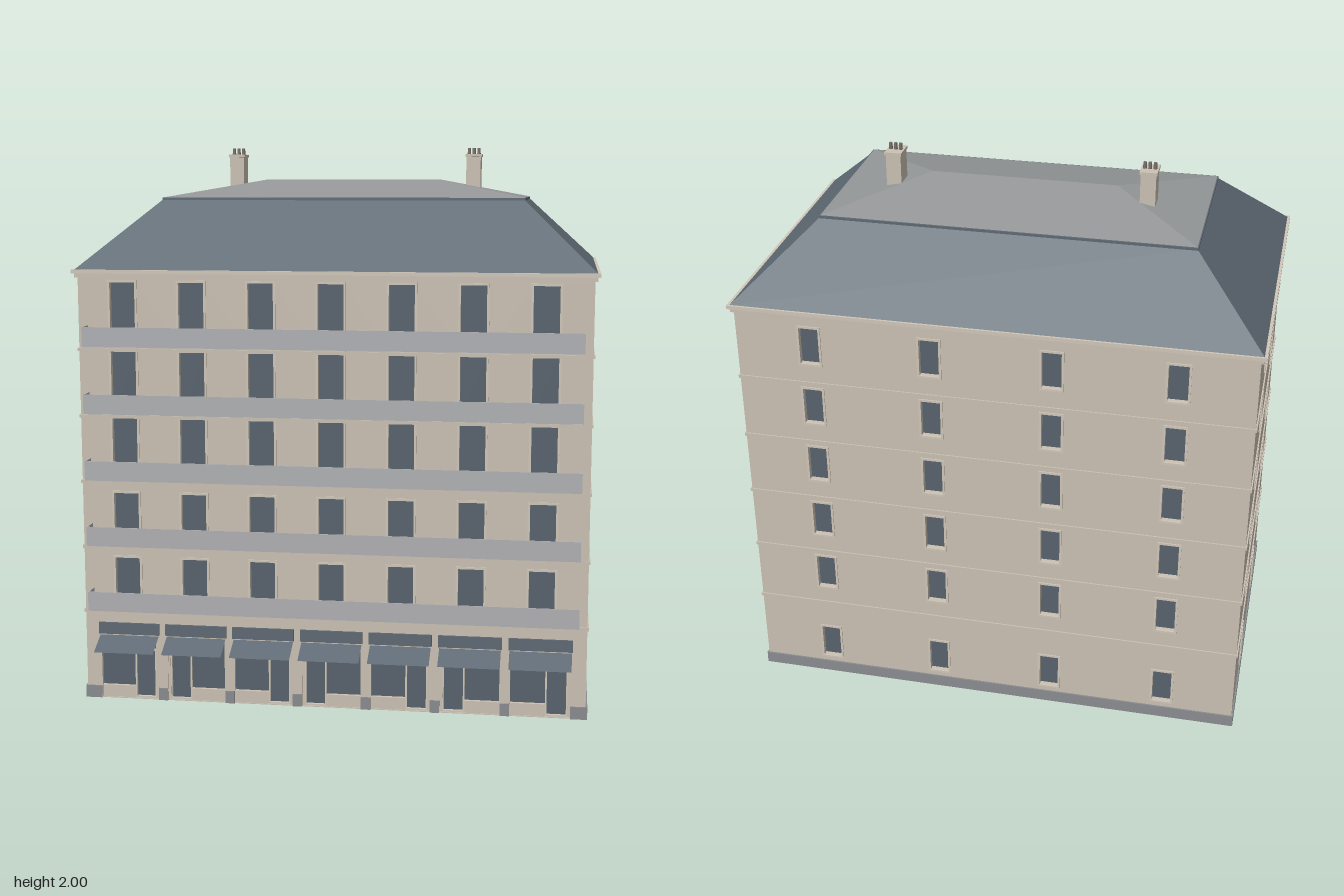
import * as THREE from 'three';

const mat = (name, color, side = THREE.FrontSide) => {
  const m = new THREE.MeshStandardMaterial({ color, side });
  m.name = name;
  return m;
};

export function createModel() {
  const root = new THREE.Group();
  root.name = 'apartmentBuilding';
  const wallMat = mat('limestone', 0xcbc1b3);
  const trimMat = mat('pale trim', 0xd0c7b9);
  const glassMat = mat('dark glass', 0x58636d);
  const slateMat = mat('slate', 0x5f6a74, THREE.DoubleSide);
  const zincMat = mat('zinc roof', 0x949798, THREE.DoubleSide);
  const railMat = mat('balcony grey', 0xb0b1b4, THREE.DoubleSide);
  const plinthMat = mat('plinth grey', 0x8a8c90);
  const potMat = mat('chimney pot', 0x77716b);

  const X = 0.905, Z0 = -0.605, Z1 = 0.54, ZC = (Z0 + Z1) / 2, D = Z1 - Z0;
  const H = 1.56, T = 0.025;

  const add = (parent, name, geo, material, x = 0, y = 0, z = 0) => {
    const m = new THREE.Mesh(geo, material);
    m.name = name;
    m.position.set(x, y, z);
    parent.add(m);
    return m;
  };
  const box = (parent, name, material, w, h, d, x, y, z) =>
    add(parent, name, new THREE.BoxGeometry(w, h, d), material, x, y, z);
  const rect = (Type, x0, x1, y0, y1) => {
    const s = new Type();
    s.moveTo(x0, y0); s.lineTo(x1, y0); s.lineTo(x1, y1); s.lineTo(x0, y1); s.closePath();
    return s;
  };
  const extrude = (shape, depth) => new THREE.ExtrudeGeometry(shape, { depth, bevelEnabled: false });

  // Horizontal band around the whole building, hollow in the middle
  const ring = (name, material, out, y, h, hx = X, z0 = Z0, z1 = Z1, inset = 0.01) => {
    const s = rect(THREE.Shape, -hx - out, hx + out, -z1 - out, -z0 + out);
    s.holes.push(rect(THREE.Path, -hx + inset, hx - inset, -z1 + inset, -z0 - inset));
    add(root, name, extrude(s, h).rotateX(-Math.PI / 2), material, 0, y, 0);
  };

  // Flat rectangular frame
  const frame = (parent, name, x, y0, y1, w, b, z, depth) => {
    const s = rect(THREE.Shape, x - w / 2, x + w / 2, y0, y1);
    s.holes.push(rect(THREE.Path, x - w / 2 + b, x + w / 2 - b, y0 + b, y1 - b));
    add(parent, name, extrude(s, depth), trimMat, 0, 0, z);
  };

  // Wall with openings {x, y0, y1, w, shop}; its outer face is local z = 0
  const wall = (name, length, openings, x, z, turn) => {
    const g = new THREE.Group();
    g.name = name;
    g.position.set(x, 0, z);
    g.rotation.y = turn;
    root.add(g);
    const s = rect(THREE.Shape, -length / 2, length / 2, 0, H);
    for (const o of openings) {
      s.holes.push(rect(THREE.Path, o.x - o.w / 2, o.x + o.w / 2, o.y0, o.y1));
      box(g, 'windowPane', glassMat, o.w, o.y1 - o.y0, 0.006, o.x, (o.y0 + o.y1) / 2, -0.02);
      if (!o.shop) frame(g, 'windowFrame', o.x, o.y0 - 0.008, o.y1 + 0.008, o.w + 0.016, 0.008, -0.002, 0.006);
    }
    add(g, name + 'Surface', extrude(s, T), wallMat, 0, 0, -T);
    return g;
  };

  // Side and back windows: a ground floor row and five upper rows
  const rows = [0.071, ...[0, 1, 2, 3, 4].map(i => 0.402 + i * 0.24)];
  const gridOf = cols => cols.flatMap(x => rows.map(y => ({ x, y0: y, y1: y + 0.138, w: 0.069 })));
  const a = 0.217 - ZC, b = -0.288 - ZC;
  wall('rightWall', D, gridOf([-a, -b]), X, ZC, Math.PI / 2);
  wall('leftWall', D, gridOf([a, b]), -X, ZC, -Math.PI / 2);
  wall('backWall', 2 * X, gridOf([-0.64, -0.213, 0.213, 0.64]), 0, Z0, Math.PI);

  // Front: seven bays of tall windows above seven shops
  const bays = [-3, -2, -1, 0, 1, 2, 3].map(i => i * 0.248);
  const tops = [0.529, 0.767, 1.048, 1.286, 1.524];
  const frontOpenings = bays.flatMap(x => [
    ...tops.map((y1, i) => ({ x, y0: 0.347 + i * 0.239, y1, w: 0.09 })),
    { x, y0: 0.003, y1: 0.237, w: 0.21, shop: true },
  ]);
  const front = wall('frontWall', 2 * X, frontOpenings, 0, Z1, 0);

  bays.forEach((x, i) => {
    const side = i % 2 ? -1 : 1;
    // Riser under the shop window, and the door beside it
    box(front, 'shopRiser', wallMat, 0.123, 0.046, 0.014, x - side * 0.0435, 0.024, -0.011);
    frame(front, 'shopDoorFrame', x + side * 0.058, 0.003, 0.187, 0.08, 0.006, -0.018, 0.012);
    box(front, 'shopJamb', wallMat, 0.008, 0.232, 0.014, x + side * 0.101, 0.12, -0.011);
    box(front, 'shopFascia', slateMat, 0.225, 0.043, 0.008, x, 0.2645, 0.003);
    // Sloping awning sheet
    const drop = 0.042, reach = 0.085;
    const awning = add(front, 'awning', new THREE.PlaneGeometry(0.218, Math.hypot(drop, reach)),
      slateMat, x, 0.238 - drop / 2, reach / 2);
    awning.rotation.x = -Math.atan2(reach, drop);
  });

  // Plinth: sides, back and the feet of the front piers
  for (const s of [-1, 1]) box(root, 'sidePlinth', plinthMat, 0.012, 0.045, D + 0.008, s * X, 0.0225, ZC);
  box(root, 'backPlinth', plinthMat, 2 * X + 0.012, 0.045, 0.012, 0, 0.0225, Z0);
  for (let i = 0; i <= 7; i++) {
    const x0 = i === 0 ? -X : bays[i - 1] + 0.107;
    const x1 = i === 7 ? X : bays[i] - 0.107;
    box(root, 'pierPlinth', plinthMat, x1 - x0, 0.045, 0.01, (x0 + x1) / 2, 0.0225, Z1);
  }

  // String courses and balcony parapets on each floor
  for (let i = 0; i < 5; i++) {
    ring('stringCourse', wallMat, 0.005, 0.322 + i * 0.239, 0.012);
    const y = 0.379 + i * 0.239;
    box(root, 'balconyFront', railMat, 1.752, 0.07, 0.004, 0, y, 0.602);
    for (const s of [-1, 1]) box(root, 'balconyEnd', railMat, 0.004, 0.07, 0.062, s * 0.874, y, 0.571);
  }

  // Stepped cornice
  ring('lowerCornice', wallMat, 0.01, 1.54, 0.016);
  ring('upperCornice', trimMat, 0.019, 1.555, 0.013);

  // Roof slopes between two rectangles [halfX, zBack, zFront, y]
  const slopes = (name, material, lower, upper) => {
    const corners = ([hx, z0, z1, y]) => [[-hx, y, z1], [hx, y, z1], [hx, y, z0], [-hx, y, z0]];
    const lo = corners(lower), up = corners(upper), p = [];
    for (let i = 0; i < 4; i++) {
      const j = (i + 1) % 4;
      p.push(...lo[i], ...lo[j], ...up[j]);
      if (up[i].some((v, k) => v !== up[j][k])) p.push(...lo[i], ...up[j], ...up[i]);
    }
    const g = new THREE.BufferGeometry();
    g.setAttribute('position', new THREE.Float32BufferAttribute(p, 3));
    g.computeVertexNormals();
    add(root, name, g, material);
  };
  slopes('mansardRoof', slateMat, [0.915, -0.617, 0.548, 1.567], [0.655, -0.363, 0.283, 1.812]);
  ring('roofLip', slateMat, 0.004, 1.808, 0.009, 0.655, -0.363, 0.283, 0.004);
  slopes('upperRoof', zincMat, [0.655, -0.363, 0.283, 1.818], [0.335, -0.038, -0.038, 1.882]);

  // Chimneys with three pots each
  for (const s of [-1, 1]) {
    const g = new THREE.Group();
    g.name = 'chimney';
    g.position.set(s * 0.453, 0, -0.095);
    root.add(g);
    box(g, 'chimneyStack', wallMat, 0.054, 0.14, 0.076, 0, 1.9, 0);
    box(g, 'chimneyCap', wallMat, 0.062, 0.01, 0.084, 0, 1.972, 0);
    for (const k of [-1, 0, 1])
      add(g, 'chimneyPot', new THREE.CylinderGeometry(0.006, 0.007, 0.024, 10), potMat, k * 0.018, 1.988, 0);
  }
  return root;
}
